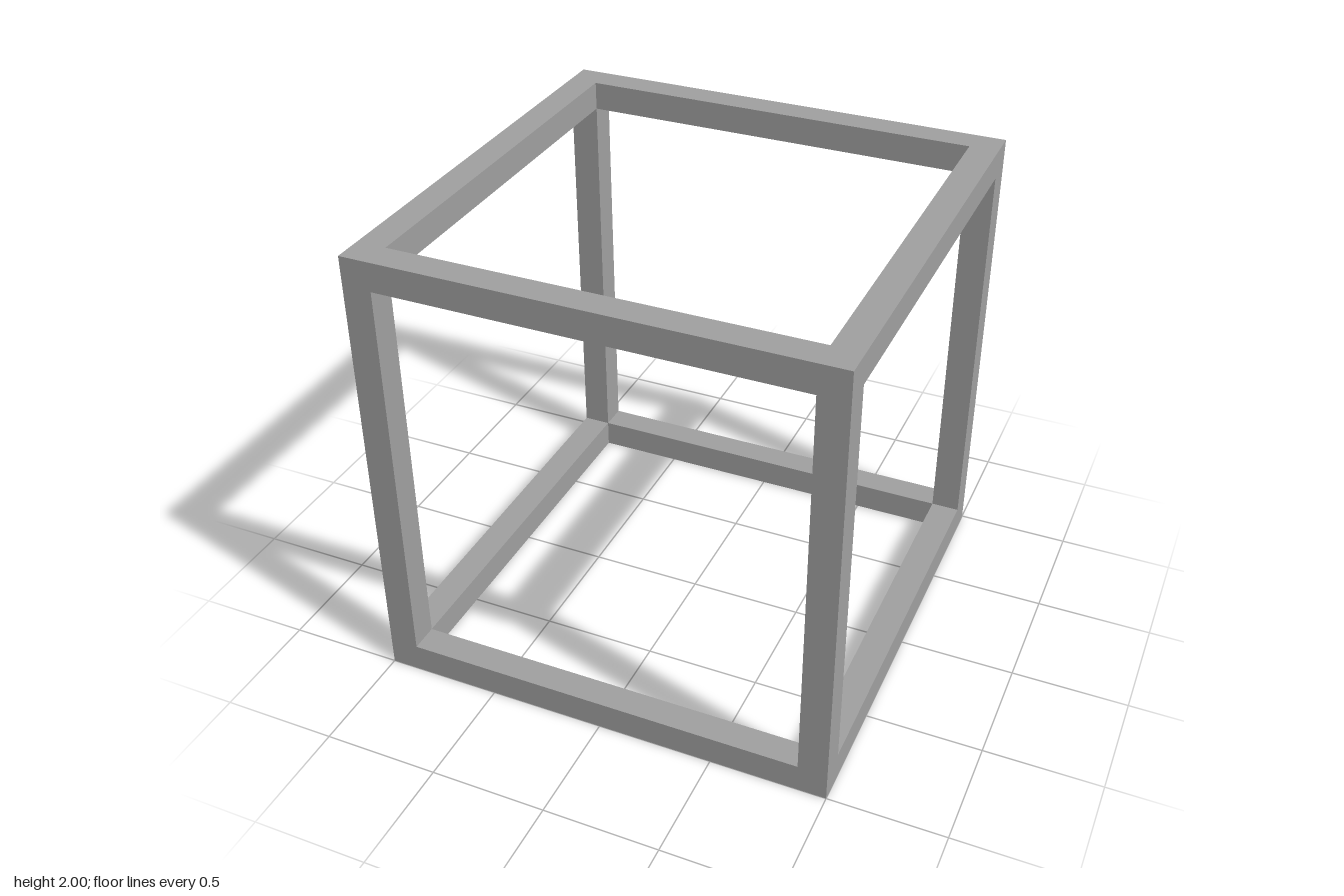
import * as THREE from 'three';
import { mergeGeometries } from 'three/addons/utils/BufferGeometryUtils.js';

const HALF = 1;           // half the cube's side
const BAR = 0.125;        // thickness of the bars
const INNER = HALF - BAR; // half the opening

// Square outline of a given half size
function square(PathType, h) {
  return new PathType([
    new THREE.Vector2(-h, -h), new THREE.Vector2(h, -h),
    new THREE.Vector2(h, h), new THREE.Vector2(-h, h),
  ]);
}

// One side facing +z: a square ring and the four inner walls of its opening
function sideGeometry() {
  const outline = square(THREE.Shape, HALF);
  outline.holes.push(square(THREE.Path, INNER));
  const parts = [new THREE.ShapeGeometry(outline).translate(0, 0, HALF)];
  for (let i = 0; i < 4; i++) {
    parts.push(new THREE.PlaneGeometry(2 * INNER, BAR)
      .rotateX(-Math.PI / 2)
      .translate(0, -INNER, HALF - BAR / 2)
      .rotateZ(i * Math.PI / 2));
  }
  return mergeGeometries(parts);
}

export function createModel() {
  const model = new THREE.Group();
  model.name = 'openCubeFrame';
  const grey = new THREE.MeshStandardMaterial({ color: 0xa0a0a0 });
  grey.name = 'grey';

  // The same side turned to face all six directions
  const q = Math.PI / 2;
  const sides = [
    ['frontFrame', 0, 0], ['leftFrame', 0, q], ['backFrame', 0, 2 * q],
    ['rightFrame', 0, -q], ['topFrame', -q, 0], ['bottomFrame', q, 0],
  ];
  const geometry = sideGeometry();
  for (const [name, rx, ry] of sides) {
    const side = new THREE.Mesh(geometry, grey);
    side.name = name;
    side.rotation.set(rx, ry, 0);
    side.position.y = HALF;
    model.add(side);
  }
  return model;
}
